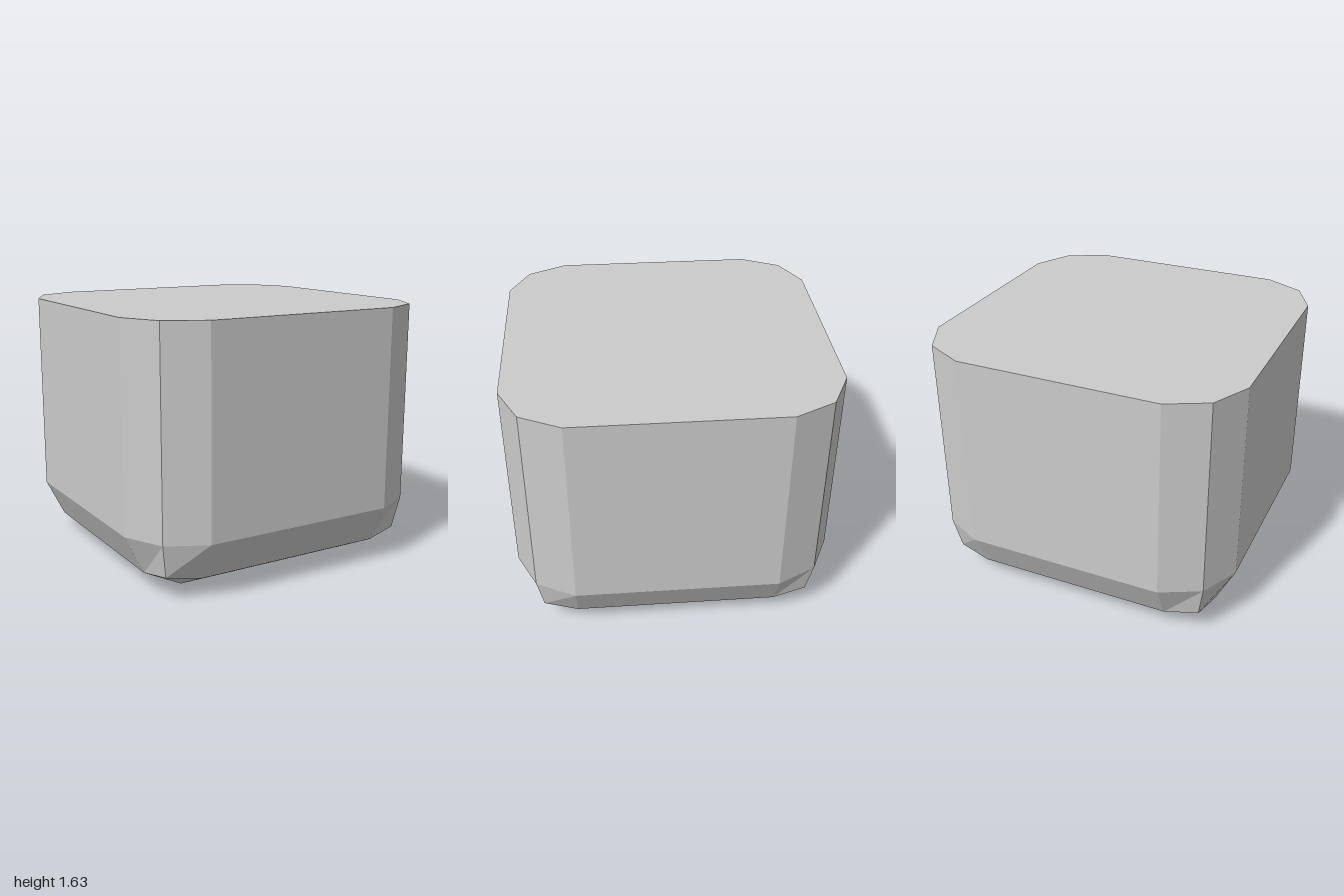
import * as THREE from 'three';

const CORE = 0.633; // half-size of the flat area of each face
// Outward offset beyond CORE for a face, edge and corner vertex
const OFFSETS = [0, 0.367, 0.245, 0.21];
const TOP = 1.633; // level where the block is cut flat

// Cube with a two-facet bevel, its upper bevel flattened into a level top
function bevelledBlock() {
  const geometry = new THREE.BoxGeometry(2, 2, 2, 3, 3, 3);
  const pos = geometry.attributes.position;
  for (let i = 0; i < pos.count; i++) {
    const p = [pos.getX(i), pos.getY(i), pos.getZ(i)];
    const outer = p.map((v) => Math.abs(v) > 0.9);
    const offset = OFFSETS[outer.filter(Boolean).length];
    const [x, y, z] = p.map((v, k) => Math.sign(v) * (CORE + (outer[k] ? offset : 0)));
    pos.setXYZ(i, x, Math.min(y + 1, TOP), z);
  }
  const flat = geometry.toNonIndexed();
  flat.computeVertexNormals();
  return flat;
}

export function createModel() {
  const group = new THREE.Group();
  group.name = 'bevelledBlock';
  const material = new THREE.MeshStandardMaterial({ color: 0xcccccc, flatShading: true });
  const body = new THREE.Mesh(bevelledBlock(), material);
  body.name = 'body';
  group.add(body);
  return group;
}
